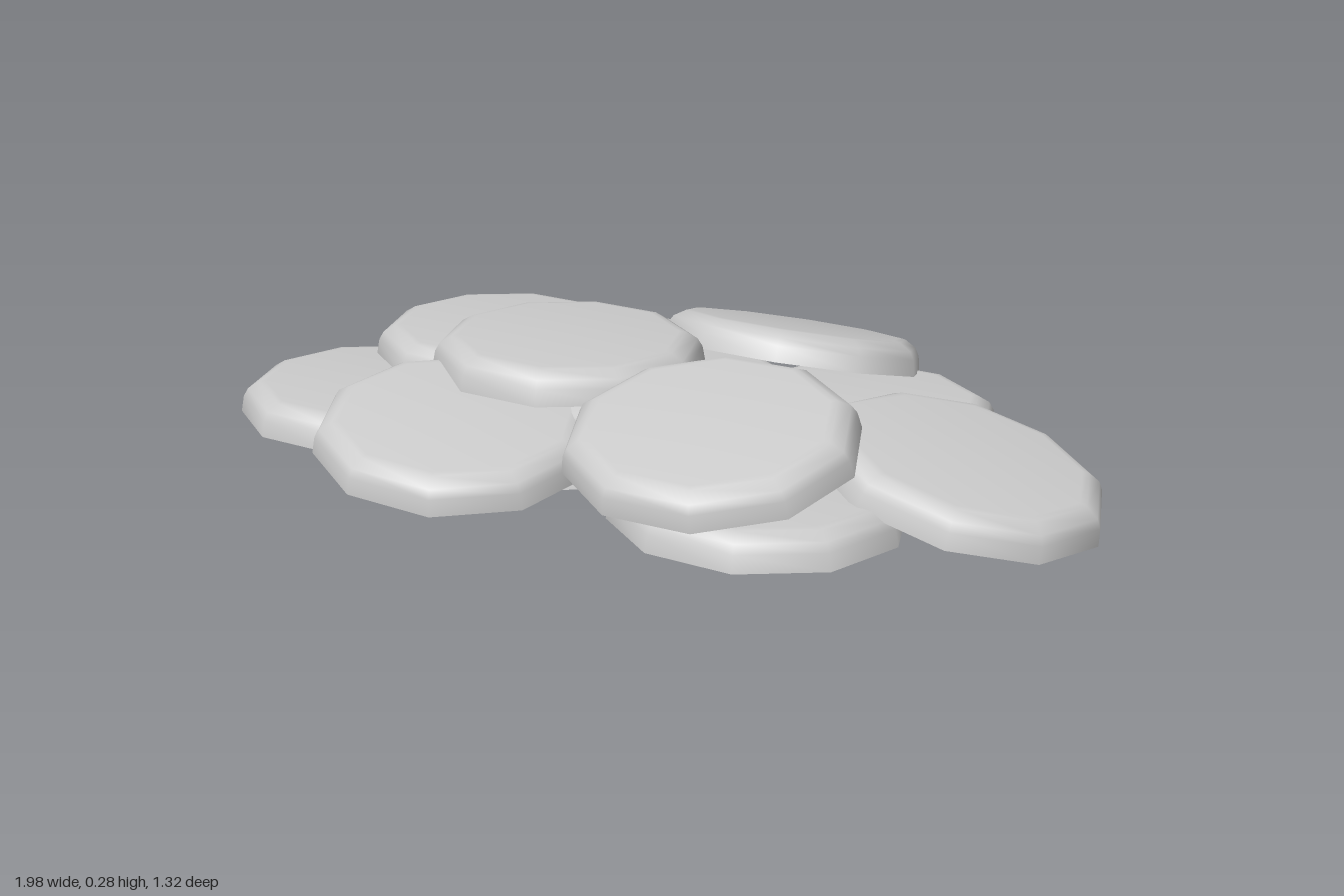
import * as THREE from 'three';
import { toCreasedNormals } from 'three/addons/utils/BufferGeometryUtils.js';

// One ten-sided disc with a rounded upper rim, slightly narrower in depth
function discGeometry() {
  const profile = [[0, 0], [0.31, 0], [0.303, 0.036], [0.292, 0.054], [0.265, 0.07], [0.25, 0.072], [0, 0.072]]
    .map(([r, y]) => new THREE.Vector2(r, y));
  const geometry = new THREE.LatheGeometry(profile, 10);
  geometry.rotateY(Math.PI / 2);
  geometry.scale(1, 1, 0.93);
  return toCreasedNormals(geometry, 0.9);
}

export function createModel() {
  const model = new THREE.Group();
  model.name = 'discPile';
  const geometry = discGeometry();
  const material = new THREE.MeshStandardMaterial({ color: 0xcccccc });

  // name, centre of the underside (x, y, z), slope along x, slope along z, spin
  const discs = [
    // lying on the ground
    ['groundDiscLeftmost', -0.69, 0.03, 0.18],
    ['groundDiscBackLeft', -0.43, 0.03, -0.325],
    ['groundDiscBackRight', 0.32, 0.03, -0.28],
    ['groundDiscFrontRight', 0.36, 0.03, 0.28],
    ['groundDiscCentre', -0.15, 0.03, 0.1],
    // stacked flat on top
    ['secondLayerDiscLeft', -0.55, 0.1, -0.14],
    ['secondLayerDiscCentre', 0.01, 0.1, 0.01],
    ['topDisc', -0.25, 0.172, 0.035],
    // leaning on the others
    ['leaningDiscBack', 0.08, 0.126, -0.398, 0, 0.28],
    ['leaningDiscFrontRight', 0.27, 0.16, 0.305, 0, -0.23, 0.03],
    ['leaningDiscRight', 0.68, 0.075, 0.025, -0.23, 0],
    ['leaningDiscFront', -0.31, 0.085, 0.375, -0.1, -0.16, 0.09],
  ];

  for (const [name, x, y, z, slopeX = 0, slopeZ = 0, spin = 0] of discs) {
    const disc = new THREE.Mesh(geometry, material);
    disc.name = name;
    disc.position.set(x, y, z);
    disc.rotation.set(-Math.atan(slopeZ), spin, Math.atan(slopeX));
    model.add(disc);
  }
  return model;
}
